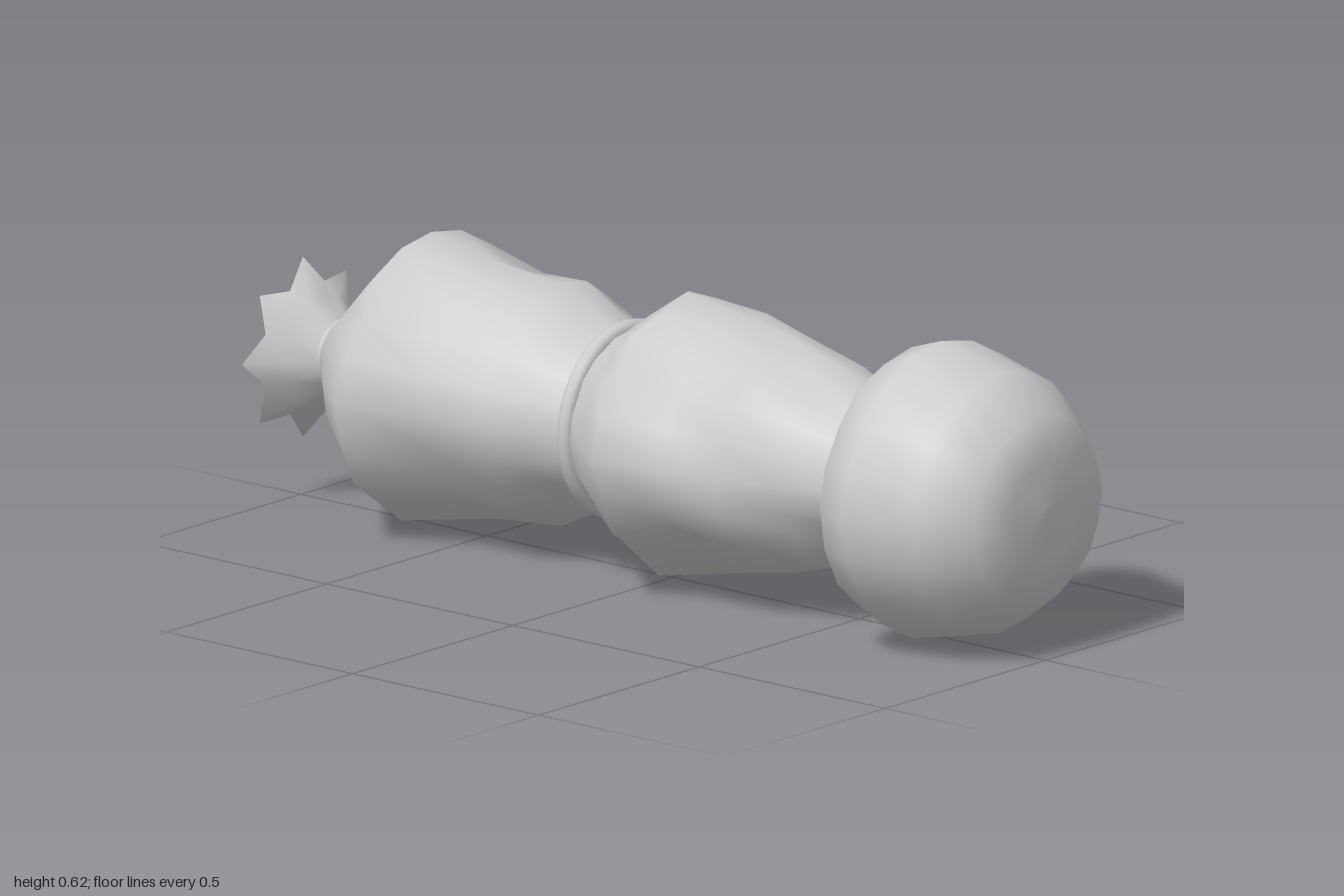
import * as THREE from 'three';

const CY = 0.312; // height of the long axis
const material = new THREE.MeshStandardMaterial({ color: 0xcccccc, side: THREE.DoubleSide });

// small seeded generator for the uneven folds
function seeded(seed) {
  return () => {
    seed = (seed * 16807) % 2147483647;
    return seed / 2147483647;
  };
}

// skin of rings [z, radius] running from front to back; radiusAt may vary each vertex
function loft(name, rings, sides, radiusAt = (r) => r, zAt = (z) => z) {
  const pos = [], index = [];
  rings.forEach(([z, r], i) => {
    for (let j = 0; j < sides; j++) {
      const a = (j / sides) * Math.PI * 2;
      const rr = radiusAt(r, i, j);
      pos.push(Math.cos(a) * rr, CY + Math.sin(a) * rr, zAt(z, i, j));
    }
  });
  for (let i = 0; i < rings.length - 1; i++) {
    for (let j = 0; j < sides; j++) {
      const k = (j + 1) % sides;
      const a = i * sides + j, b = i * sides + k;
      index.push(a, a + sides, b, b, a + sides, b + sides);
    }
  }
  const geo = new THREE.BufferGeometry();
  geo.setAttribute('position', new THREE.Float32BufferAttribute(pos, 3));
  geo.setIndex(index);
  geo.computeVertexNormals();
  const mesh = new THREE.Mesh(geo, material);
  mesh.name = name;
  return mesh;
}

// bulge whose inner rings are dented by up to the given share of their radius
function bulge(name, rings, dent, seed) {
  const rnd = seeded(seed);
  return loft(name, rings, 20, (r, i, j) => {
    const end = i === 0 || i === rings.length - 1;
    const n = rnd();
    return end || j % 5 === 0 ? r : r * (1 - dent * n * n);
  });
}

function tie(name, z, radius, tube) {
  const mesh = new THREE.Mesh(new THREE.TorusGeometry(radius, tube, 10, 40), material);
  mesh.position.set(0, CY, z);
  mesh.name = name;
  return mesh;
}

export function createModel() {
  const model = new THREE.Group();
  model.name = 'tiedSack';

  // rounded front end
  model.add(bulge('frontBulge', [
    [1.0, 0.001], [0.995, 0.1], [0.98, 0.2], [0.88, 0.275], [0.72, 0.312],
    [0.64, 0.285], [0.615, 0.225], [0.59, 0.15],
  ], 0.03, 11));

  // middle section, widening towards the back
  model.add(bulge('middleBulge', [
    [0.6, 0.15], [0.57, 0.16], [0.46, 0.208], [0.32, 0.247], [0.18, 0.272], [0.04, 0.298],
    [-0.05, 0.238], [-0.125, 0.185],
  ], 0.13, 37));

  // rear section, narrowing to the knot
  model.add(bulge('rearBulge', [
    [-0.125, 0.18], [-0.2, 0.21], [-0.3, 0.256], [-0.48, 0.272], [-0.65, 0.302],
    [-0.77, 0.2], [-0.89, 0.068],
  ], 0.13, 83));

  // cords round the necks
  model.add(tie('frontTie', 0.595, 0.162, 0.014));
  model.add(tie('middleTie', -0.125, 0.19, 0.018));
  model.add(tie('knotTie', -0.89, 0.07, 0.008));

  // gathered tail: scalloped flare with a shallow dished end
  const edge = 2;
  model.add(loft('tailFlare', [
    [-0.885, 0.068], [-0.94, 0.115], [-0.995, 0.19], [-0.975, 0.09], [-0.965, 0.001],
  ], 16, (r, i, j) => (i === edge && j % 2 ? r * 0.74 : r),
  (z, i, j) => (i === edge && j % 2 ? z + 0.012 : z)));

  return model;
}
